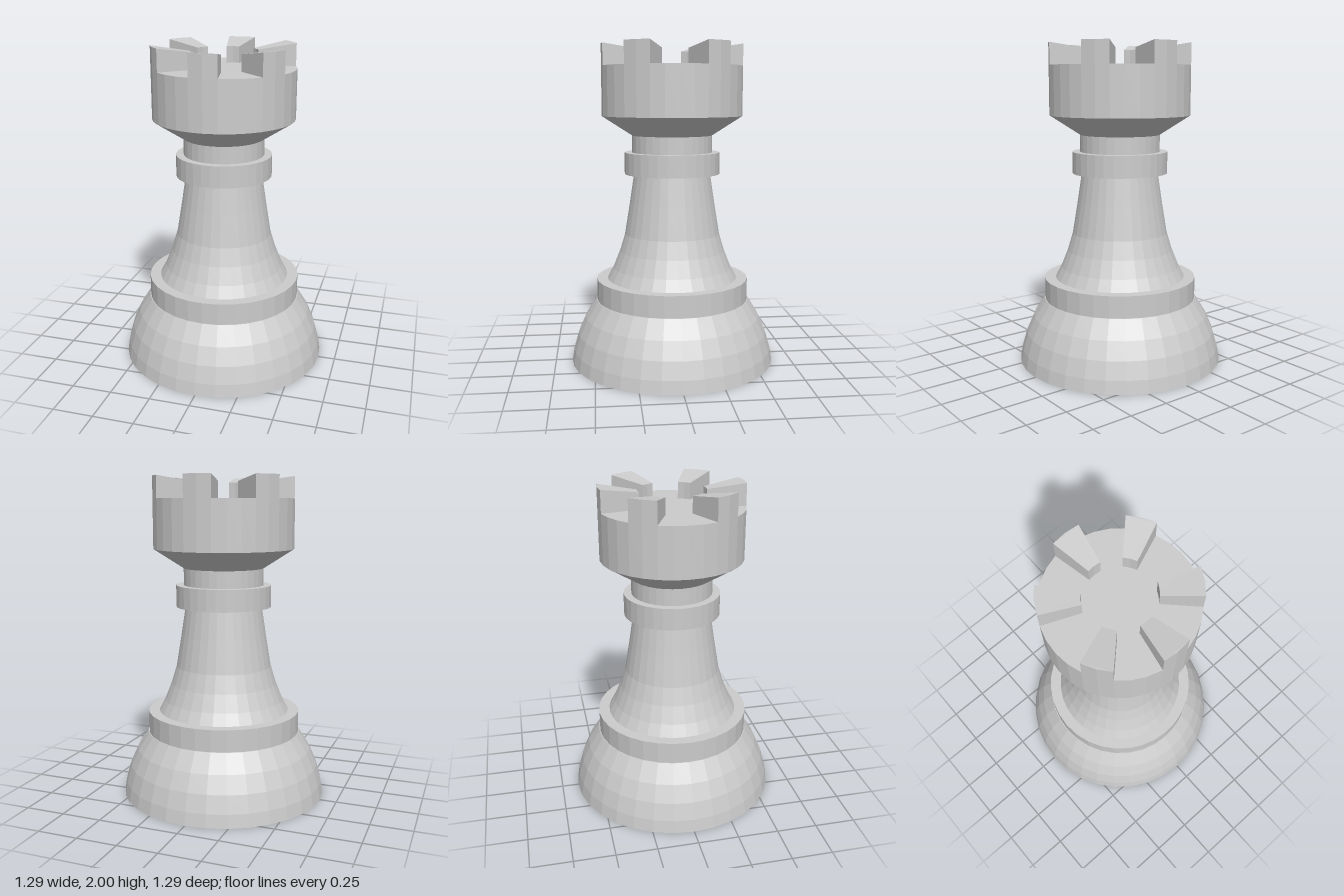
import * as THREE from 'three';

const SIDES = 32;
const STEP = (Math.PI * 2) / SIDES;
const material = new THREE.MeshStandardMaterial({ color: 0xcccccc, flatShading: true });

// Faceted turned part from [radius, height] points, bottom to top
function turned(name, profile) {
  const points = profile.map(([r, y]) => new THREE.Vector2(r, y));
  const geometry = new THREE.LatheGeometry(points, SIDES).toNonIndexed();
  geometry.computeVertexNormals();
  const mesh = new THREE.Mesh(geometry, material);
  mesh.name = name;
  return mesh;
}

// Wedge two facets wide whose top slopes down towards the centre
function battlement(angle) {
  const inner = 0.205, outer = 0.437, floor = 1.865, low = 1.965, high = 2;
  const at = (r, a) => new THREE.Vector2(r * Math.cos(a), r * Math.sin(a));
  const offsets = [-STEP, 0, STEP];
  const plan = new THREE.Shape([
    ...offsets.map((o) => at(outer, angle + o)),
    ...offsets.map((o) => at(inner, angle - o)),
  ]);
  const geometry = new THREE.ExtrudeGeometry(plan, { depth: 1, bevelEnabled: false });
  geometry.rotateX(-Math.PI / 2);
  const p = geometry.attributes.position;
  for (let i = 0; i < p.count; i++) {
    const t = (Math.hypot(p.getX(i), p.getZ(i)) - inner) / (outer - inner);
    p.setY(i, p.getY(i) > 0.5 ? low + (high - low) * t : floor);
  }
  geometry.computeVertexNormals();
  const mesh = new THREE.Mesh(geometry, material);
  mesh.name = 'battlement';
  return mesh;
}

export function createModel() {
  const model = new THREE.Group();
  model.name = 'rook';

  // Base, lower collar, flared column, upper collar, neck and head
  model.add(turned('body', [
    [0, 0], [0.645, 0], [0.632, 0.08], [0.602, 0.185], [0.555, 0.29], [0.485, 0.4],
    [0.48, 0.4], [0.48, 0.535], [0.412, 0.535],
    [0.375, 0.605], [0.333, 0.71], [0.3, 0.82], [0.267, 1.02], [0.24, 1.2],
    [0.298, 1.2], [0.298, 1.335], [0.25, 1.335], [0.25, 1.44],
    [0.437, 1.56], [0.437, 1.865], [0, 1.865],
  ]));

  // Six battlements: front, back and two on each side
  const battlements = new THREE.Group();
  battlements.name = 'battlements';
  for (const half of [0, Math.PI])
    for (const facets of [-5, 0, 5])
      battlements.add(battlement(half + Math.PI / 2 + facets * STEP));
  model.add(battlements);

  return model;
}
